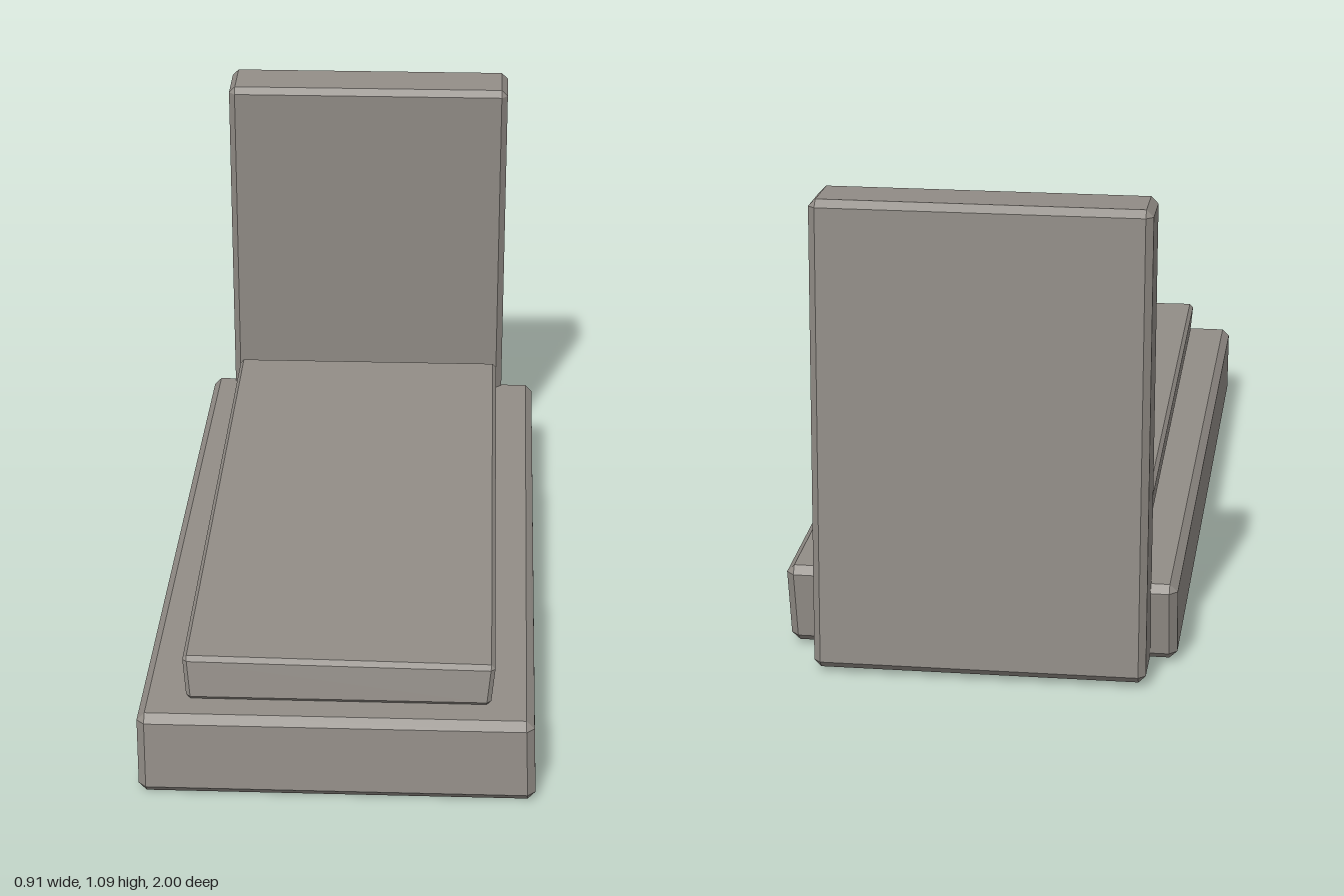
import * as THREE from 'three';
import { ConvexGeometry } from 'three/addons/geometries/ConvexGeometry.js';

// Corner order: bit 0 = +x, bit 1 = +y, bit 2 = +z
function roughBlock(name, corners, bevel, material) {
  const c = corners.map((p) => new THREE.Vector3(...p));
  const points = [];
  c.forEach((corner, i) => {
    // Steps along the three edges that meet in this corner
    const steps = [1, 2, 4].map((bit) => c[i ^ bit].clone().sub(corner).setLength(bevel));
    // One inset point on each of the three faces leaves chamfered edges
    for (let f = 0; f < 3; f++) {
      points.push(corner.clone().add(steps[(f + 1) % 3]).add(steps[(f + 2) % 3]));
    }
  });
  const mesh = new THREE.Mesh(new ConvexGeometry(points), material);
  mesh.name = name;
  return mesh;
}

export function createModel() {
  const stone = new THREE.MeshStandardMaterial({ color: 0x928d87, flatShading: true });
  stone.name = 'grey stone';

  const group = new THREE.Group();
  group.name = 'stoneGrave';

  // Wide slab lying on the ground
  group.add(roughBlock('baseSlab', [
    [-0.44, 0.01, -0.855], [0.445, 0.01, -0.855],
    [-0.44, 0.2, -0.88], [0.452, 0.2, -0.868],
    [-0.455, 0, 1], [0.445, 0, 1],
    [-0.457, 0.193, 0.985], [0.438, 0.193, 0.985],
  ], 0.018, stone));

  // Narrower cover slab on top of it
  group.add(roughBlock('coverSlab', [
    [-0.35, 0.2, -0.775], [0.345, 0.2, -0.775],
    [-0.36, 0.298, -0.782], [0.35, 0.298, -0.782],
    [-0.35, 0.192, 0.907], [0.34, 0.192, 0.907],
    [-0.36, 0.294, 0.89], [0.35, 0.286, 0.89],
  ], 0.01, stone));

  // Upright headstone, leaning a little forwards
  group.add(roughBlock('headstone', [
    [-0.38, 0.015, -1], [0.366, 0.015, -1],
    [-0.38, 1.09, -0.944], [0.366, 1.09, -0.944],
    [-0.38, 0.005, -0.842], [0.366, 0.005, -0.842],
    [-0.38, 1.082, -0.783], [0.366, 1.082, -0.783],
  ], 0.016, stone));

  return group;
}
